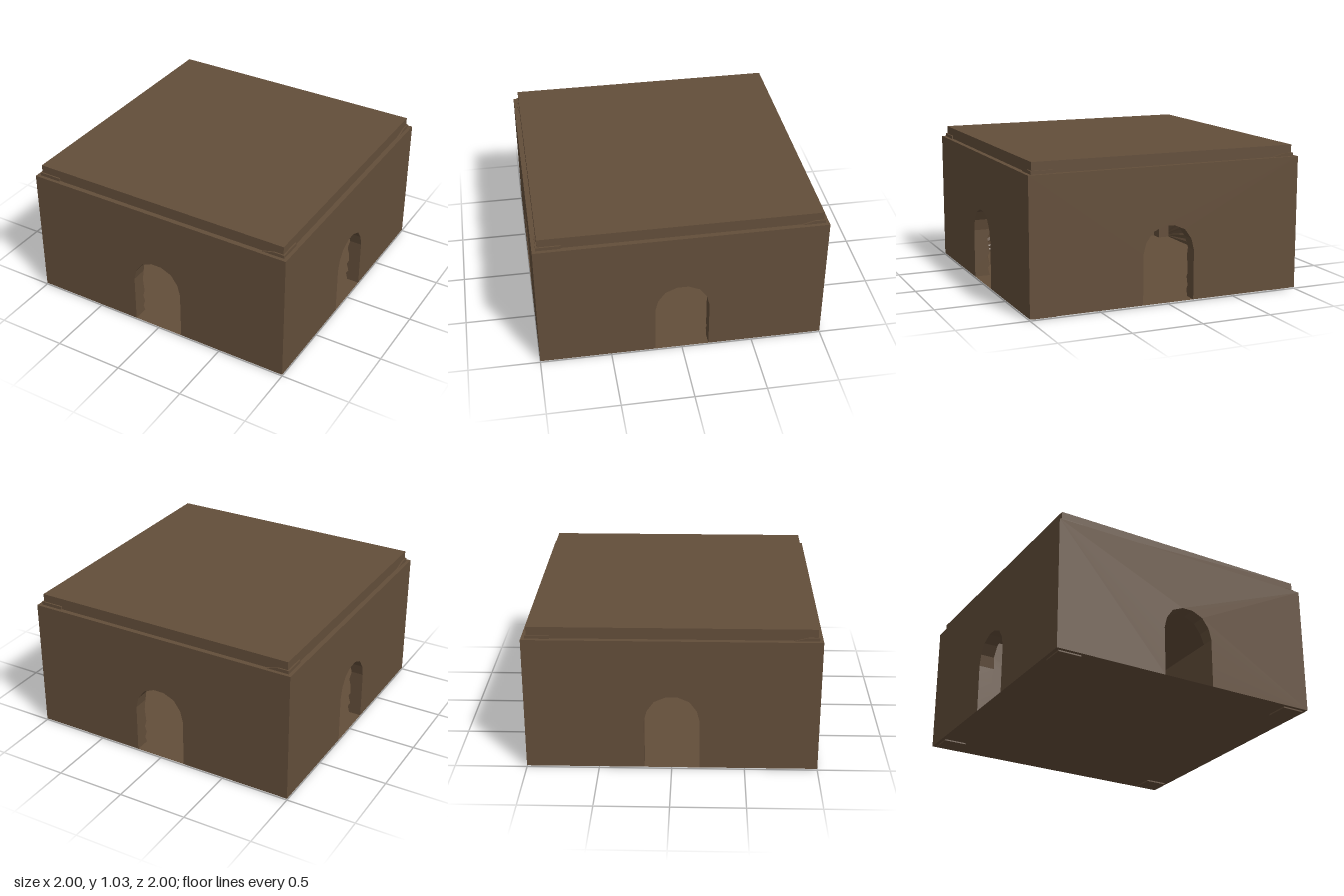
import * as THREE from 'three';

const BASE = 0.01;      // underside of the walls
const EAVES = 0.955;    // top of the walls
const THICK = 0.1;      // wall thickness

// Half of the doorway outline, from the sill up to the crown
const JAMB = [[0.19, BASE], [0.19, 0.06], [0.19, 0.09], [0.19, 0.15], [0.19, 0.18],
  [0.19, 0.25], [0.19, 0.29], [0.19, 0.36], [0.17, 0.44], [0.12, 0.51], [0.04, 0.545]];

// One mitred wall with an arched doorway and a rough inner door edge
function wallGeometry() {
  const shape = new THREE.Shape();
  shape.moveTo(-1, BASE);
  for (const [x, y] of JAMB) shape.lineTo(-x, y);
  for (const [x, y] of [...JAMB].reverse()) shape.lineTo(x, y);
  shape.lineTo(1, BASE);
  shape.lineTo(1, EAVES);
  shape.lineTo(-1, EAVES);
  shape.closePath();

  const geo = new THREE.ExtrudeGeometry(shape, { depth: THICK, bevelEnabled: false });
  geo.translate(0, 0, 1 - THICK);
  const p = geo.attributes.position;
  for (let i = 0; i < p.count; i++) {
    if (p.getZ(i) > 0.95) continue;
    const x = p.getX(i), y = p.getY(i);
    if (Math.abs(x) > 0.99) p.setX(i, Math.sign(x) * (1 - THICK));
    else if (y < 0.4) p.setZ(i, 1 - THICK + 0.014 * Math.sin(y * 71 + x * 9));
  }
  geo.computeVertexNormals();
  return geo;
}

// Square corner post whose top is chipped down on one side
function postGeometry() {
  const shape = new THREE.Shape();
  shape.moveTo(0.81, 0);
  shape.lineTo(0.975, 0);
  shape.lineTo(0.975, 0.978);
  shape.lineTo(0.9, 0.978);
  shape.lineTo(0.81, EAVES);
  shape.closePath();
  const geo = new THREE.ExtrudeGeometry(shape, { depth: 0.165, bevelEnabled: false });
  geo.translate(0, 0, 0.81);
  return geo;
}

export function createModel() {
  const model = new THREE.Group();
  model.name = 'archedRoom';
  const stone = new THREE.MeshStandardMaterial({ color: 0x634e3a });
  stone.name = 'brownStone';
  const floorStone = stone.clone();
  floorStone.name = 'brownStoneFloor';
  floorStone.side = THREE.DoubleSide;

  const add = (name, geo, material = stone) => {
    const mesh = new THREE.Mesh(geo, material);
    mesh.name = name;
    model.add(mesh);
    return mesh;
  };

  // Four walls and four corner posts
  const wall = wallGeometry();
  const post = postGeometry();
  ['front', 'left', 'back', 'right'].forEach((side, i) => {
    add(side + 'Wall', wall).rotation.y = i * Math.PI / 2;
    add(side + 'CornerPost', post).rotation.y = i * Math.PI / 2;
  });

  // Roof slab, set in from the wall tops
  add('roof', new THREE.BoxGeometry(1.93, 1.035 - EAVES, 1.93)).position.y = (1.035 + EAVES) / 2;

  // Thin floor reaching to the outer faces
  const floor = add('floor', new THREE.PlaneGeometry(2, 2), floorStone);
  floor.rotation.x = -Math.PI / 2;
  floor.position.y = BASE;

  return model;
}
